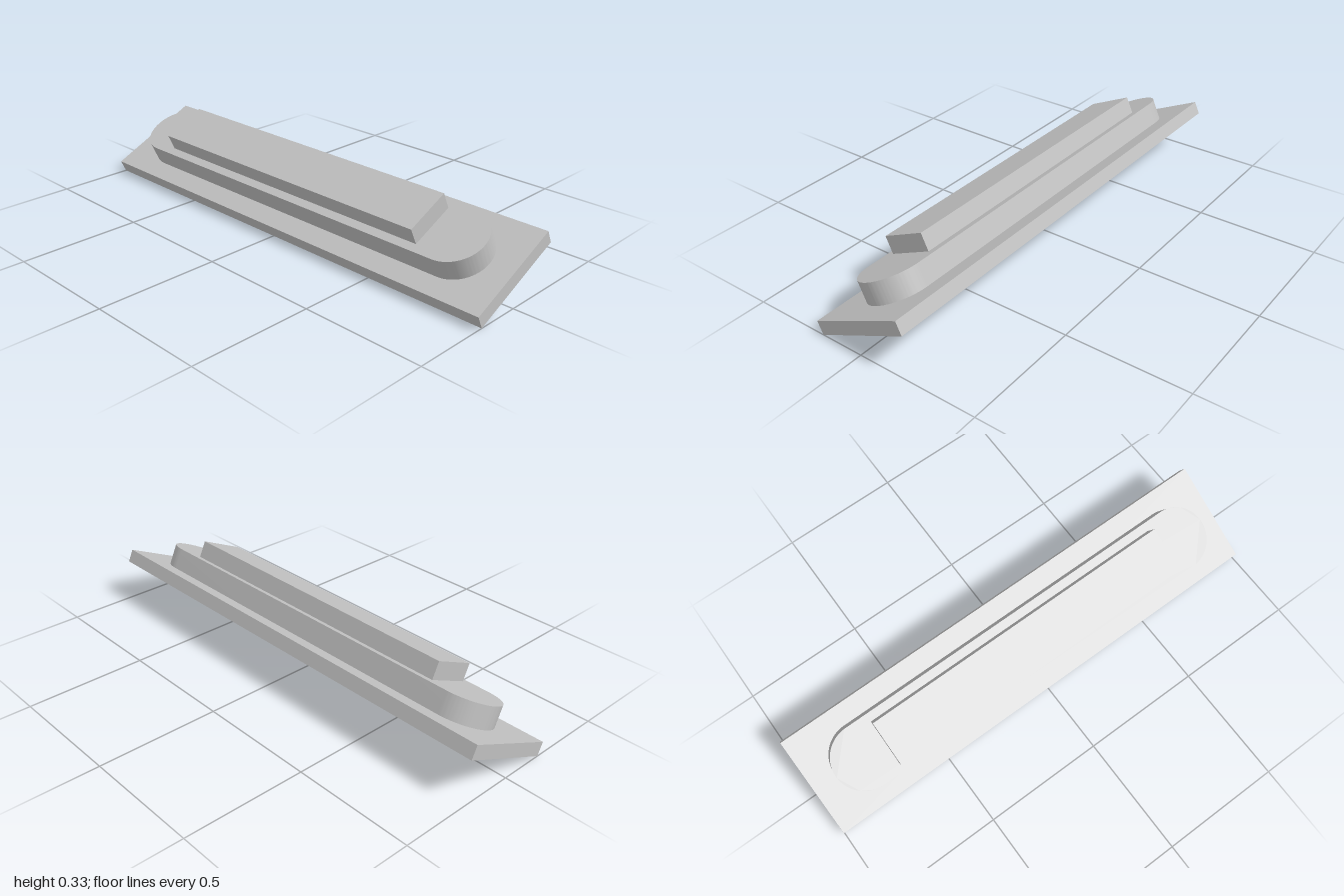
import * as THREE from 'three';
import { toCreasedNormals } from 'three/addons/utils/BufferGeometryUtils.js';

export function createModel() {
  const grey = new THREE.MeshStandardMaterial({ color: 0xc0c0c0 });
  grey.name = 'grey';

  const model = new THREE.Group();
  model.name = 'steppedPlate';

  // All layers are stacked upright, then tilted together towards the front
  const stack = new THREE.Group();
  stack.name = 'tiltedStack';
  stack.rotation.x = THREE.MathUtils.degToRad(25);
  stack.position.set(0, 0.0906, -0.0119);
  model.add(stack);

  const add = (name, geometry, y) => {
    const mesh = new THREE.Mesh(geometry, grey);
    mesh.name = name;
    mesh.position.y = y;
    stack.add(mesh);
  };

  const baseHeight = 0.056, bodyHeight = 0.09, barHeight = 0.072;

  // Rectangular base plate
  add('basePlate', new THREE.BoxGeometry(2, baseHeight, 0.429), baseHeight / 2);

  // Middle body with fully rounded ends
  const radius = 0.132, straight = 0.9 - radius;
  const outline = new THREE.Shape();
  outline.absarc(straight, 0, radius, -Math.PI / 2, Math.PI / 2, false);
  outline.absarc(-straight, 0, radius, Math.PI / 2, Math.PI * 1.5, false);
  outline.closePath();
  const body = new THREE.ExtrudeGeometry(outline, {
    depth: bodyHeight, bevelEnabled: false, curveSegments: 32,
  });
  body.rotateX(-Math.PI / 2);
  add('roundedBody', toCreasedNormals(body, Math.PI / 6), baseHeight);

  // Rectangular bar on top
  add('topBar', new THREE.BoxGeometry(1.354, barHeight, 0.195),
    baseHeight + bodyHeight + barHeight / 2);

  return model;
}
